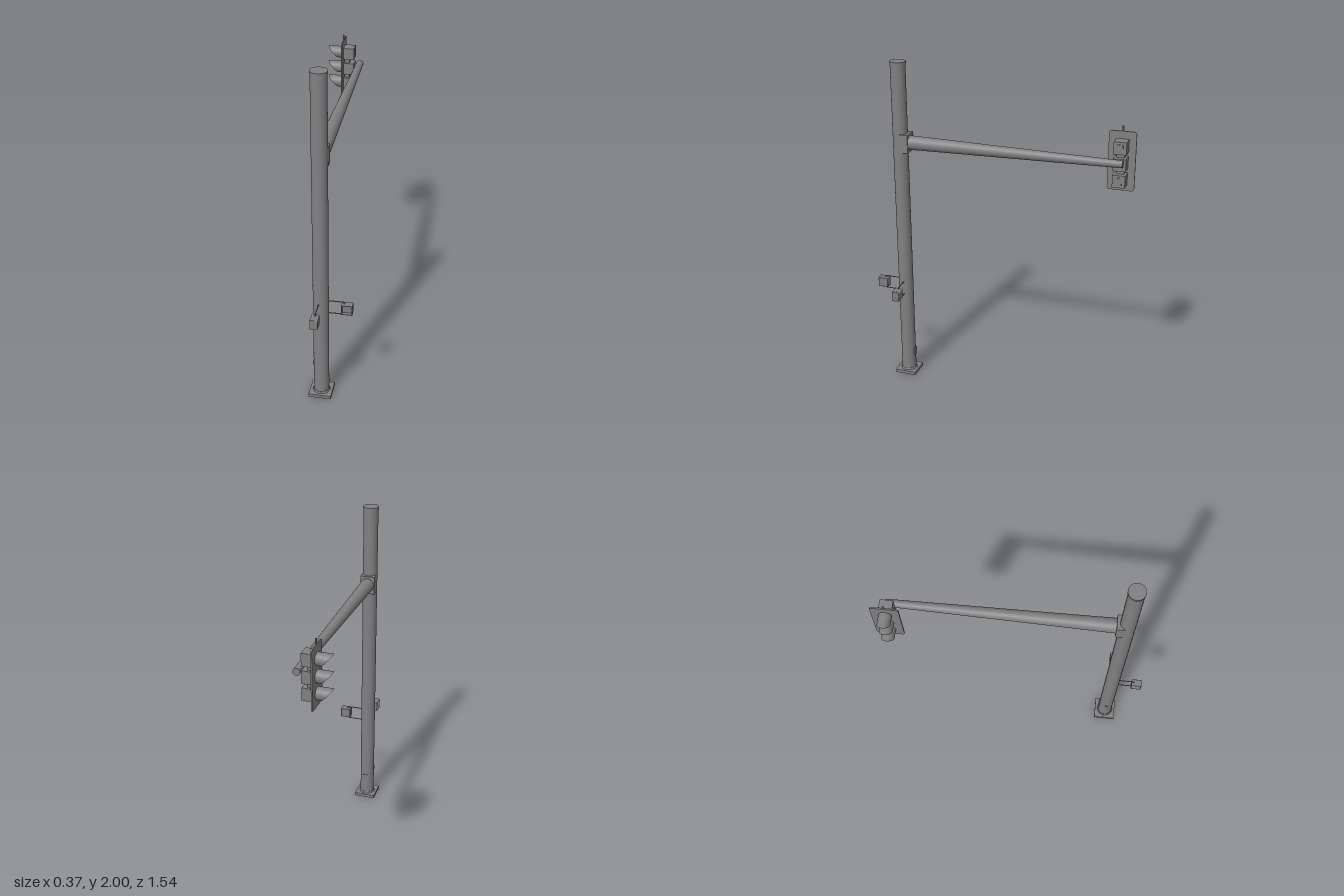
import * as THREE from 'three';
import { RoundedBoxGeometry } from 'three/addons/geometries/RoundedBoxGeometry.js';

export function createModel() {
  const root = new THREE.Group();
  root.name = 'trafficSignalPole';
  const steel = new THREE.MeshStandardMaterial({ color: 0x808080 });
  steel.name = 'grey steel';
  steel.side = THREE.DoubleSide;

  const add = (name, geo, x, y, z, parent = root) => {
    const m = new THREE.Mesh(geo, steel);
    m.name = name;
    m.position.set(x, y, z);
    parent.add(m);
    return m;
  };
  const box = (name, w, h, d, x, y, z, parent) =>
    add(name, new THREE.BoxGeometry(w, h, d), x, y, z, parent);
  // straight round bar between two points
  const bar = (name, a, b, ra, rb, parent = root, sides = 8) => {
    const p = new THREE.Vector3(...a), q = new THREE.Vector3(...b);
    const m = add(name, new THREE.CylinderGeometry(rb, ra, p.distanceTo(q), sides), 0, 0, 0, parent);
    m.position.copy(p).add(q).multiplyScalar(0.5);
    m.quaternion.setFromUnitVectors(new THREE.Vector3(0, 1, 0), q.sub(p).normalize());
    return m;
  };

  const PX = 0.005, PZ = 0.59;

  // pole, base plate and cap
  box('basePlate', 0.13, 0.02, 0.13, PX, 0.01, PZ);
  bar('baseCollar', [PX, 0.02, PZ], [PX, 0.03, PZ], 0.05, 0.046, root, 32);
  bar('pole', [PX, 0.02, PZ], [PX, 1.988, PZ], 0.044, 0.044, root, 32);
  bar('poleCap', [PX, 1.985, PZ], [PX, 2, PZ], 0.047, 0.047, root, 32);
  box('accessHatch', 0.03, 0.05, 0.012, PX, 0.14, PZ - 0.042);
  box('cableHatch', 0.012, 0.025, 0.016, PX - 0.041, 0.205, PZ);

  // mast arm with its clamp
  box('armClamp', 0.088, 0.11, 0.05, PX, 1.525, 0.555);
  bar('mastArm', [0.006, 1.525, 0.555], [0.004, 1.527, -0.72], 0.042, 0.021, root, 32);

  // three-lamp signal head facing -x
  const head = new THREE.Group();
  head.name = 'signalHead';
  head.position.set(0, 0, -0.695);
  root.add(head);

  const plate = new THREE.Shape();
  const w = 0.0775, h = 0.1725, r = 0.018;
  plate.moveTo(-w + r, -h);
  plate.lineTo(w - r, -h); plate.quadraticCurveTo(w, -h, w, -h + r);
  plate.lineTo(w, h - r); plate.quadraticCurveTo(w, h, w - r, h);
  plate.lineTo(-w + r, h); plate.quadraticCurveTo(-w, h, -w, h - r);
  plate.lineTo(-w, -h + r); plate.quadraticCurveTo(-w, -h, -w + r, -h);
  const plateGeo = new THREE.ExtrudeGeometry(plate, { depth: 0.008, bevelEnabled: false });
  plateGeo.rotateY(-Math.PI / 2);
  add('backPlate', plateGeo, -0.091, 1.5125, 0, head);
  bar('sensorStub', [-0.095, 1.68, 0], [-0.095, 1.715, 0], 0.005, 0.005, head);

  // visor: tube whose open end is cut on a slant, longest at the top
  const visorGeo = () => {
    const g = new THREE.CylinderGeometry(0.036, 0.036, 1, 24, 1, true);
    g.rotateZ(Math.PI / 2);
    const p = g.attributes.position;
    for (let i = 0; i < p.count; i++) {
      const reach = 0.025 + 0.065 * (p.getY(i) / 0.036 + 1) / 2;
      p.setX(i, p.getX(i) < 0 ? -reach : 0);
    }
    g.computeVertexNormals();
    return g;
  };
  for (const y of [1.412, 1.508, 1.605]) {
    box('lampHousing', 0.065, 0.072, 0.073, -0.0585, y, 0, head);
    box('housingDoor', 0.006, 0.045, 0.035, -0.024, y, 0, head);
    add('visor', visorGeo(), -0.098, y, 0, head);
    bar('lens', [-0.098, y, 0], [-0.104, y, 0], 0.035, 0.03, head, 24);
  }
  box('housingSpine', 0.03, 0.25, 0.045, -0.07, 1.508, 0, head);
  bar('armBracket', [-0.03, 1.527, 0], [0.004, 1.527, 0], 0.01, 0.01, head, 12);

  // pedestrian signals: local +x points away from the pole, the open hood faces local z * face
  const pedestrian = (name, angle, face) => {
    const g = new THREE.Group();
    g.name = name;
    g.position.set(PX - 0.005, 0.6, PZ - 0.004);
    g.rotation.y = angle;
    root.add(g);
    const cx = 0.153;
    add('signalBody', new RoundedBoxGeometry(0.062, 0.06, 0.024, 2, 0.005), cx, 0, -0.01 * face, g);
    for (const s of [-1, 1]) {
      box('hoodSide', 0.003, 0.06, 0.024, cx + s * 0.0295, 0, 0.01 * face, g);
      box('hoodEdge', 0.062, 0.003, 0.024, cx, s * 0.0285, 0.01 * face, g);
      const y = s * 0.04;
      bar('bracketRod', [0.03, y, 0], [0.137, y, 0], 0.003, 0.003, g);
      bar('bracketDrop', [0.137, y, 0], [0.137, s * 0.027, 0], 0.003, 0.003, g);
    }
  };
  pedestrian('sidePedestrianSignal', 0, 1);
  pedestrian('frontPedestrianSignal', -Math.PI / 2, 1);

  return root;
}
